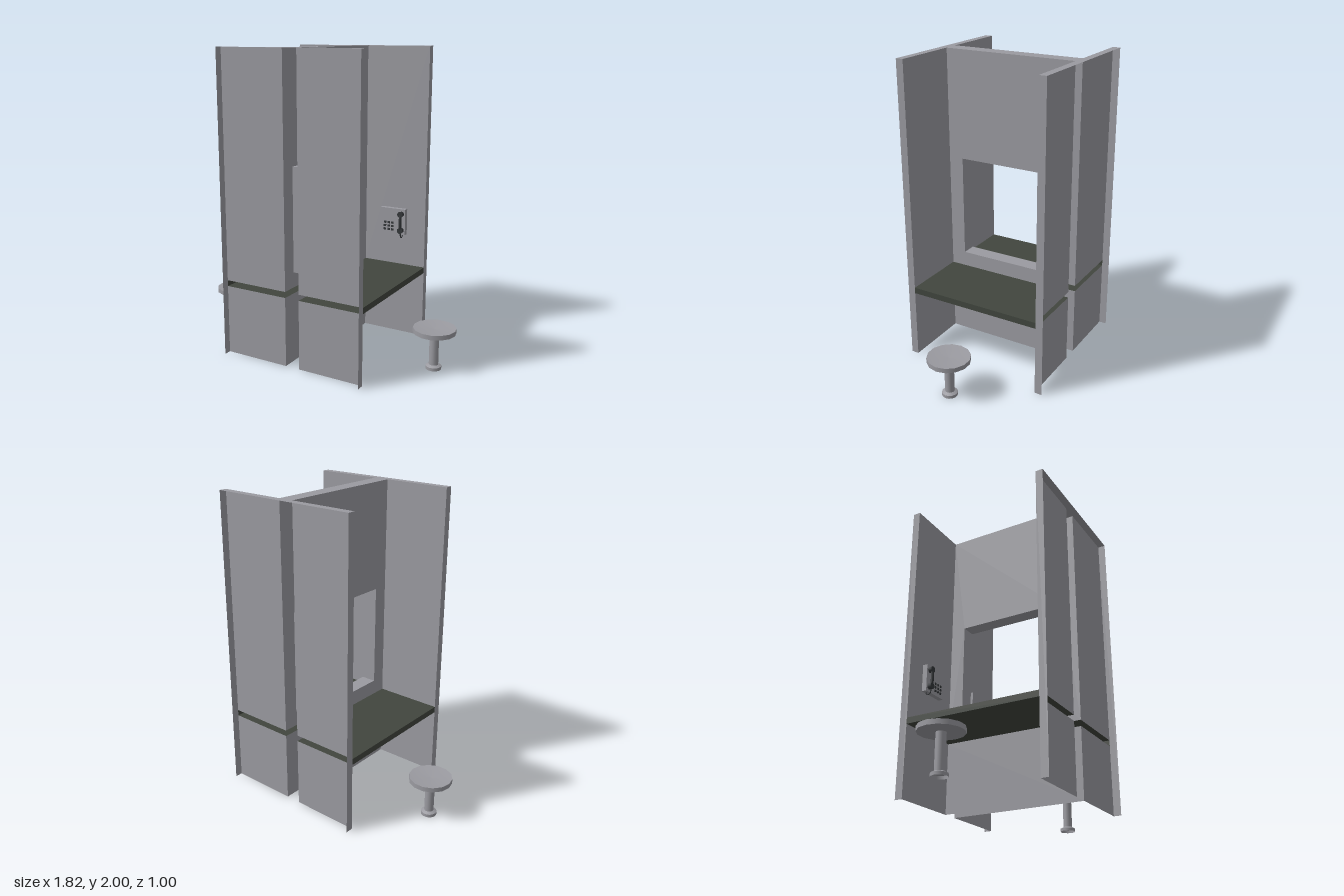
import * as THREE from 'three';

const wallGrey = new THREE.MeshStandardMaterial({ color: 0x9b9ba1, side: THREE.DoubleSide });
const shelfGreen = new THREE.MeshStandardMaterial({ color: 0x41463e, side: THREE.DoubleSide });
const handsetBlack = new THREE.MeshStandardMaterial({ color: 0x34373a });

function add(parent, name, geometry, material, x = 0, y = 0, z = 0) {
  const mesh = new THREE.Mesh(geometry, material);
  mesh.name = name;
  mesh.position.set(x, y, z);
  parent.add(mesh);
  return mesh;
}

// Thin sheets facing along x, y or z
const sheetX = (depth, height) => new THREE.PlaneGeometry(depth, height).rotateY(Math.PI / 2);
const sheetY = (width, depth) => new THREE.PlaneGeometry(width, depth).rotateX(-Math.PI / 2);
const sheetZ = (width, height) => new THREE.PlaneGeometry(width, height);

function rectangle(Type, x0, y0, x1, y1) {
  return new Type([[x0, y0], [x1, y0], [x1, y1], [x0, y1]].map(p => new THREE.Vector2(...p)));
}

const SHELF_LOW = 0.46, SHELF_HIGH = 0.5;
const bands = [[0, SHELF_LOW], [SHELF_HIGH, 2]];

function buildWalls() {
  const walls = new THREE.Group();
  walls.name = 'walls';
  for (const sx of [-1, 1]) {
    // Divider side with the window opening, parted where the shelf joins it
    const upper = rectangle(THREE.Shape, -0.45, SHELF_HIGH, 0.45, 2);
    upper.holes.push(rectangle(THREE.Path, -0.35, 0.6, 0.35, 1.28));
    add(walls, 'dividerUpper', new THREE.ShapeGeometry(upper).rotateY(Math.PI / 2), wallGrey, sx * 0.05);
    add(walls, 'dividerLower', sheetX(0.9, SHELF_LOW), wallGrey, sx * 0.05, SHELF_LOW / 2);

    // Front and back panels with their outer edges
    for (const sz of [-1, 1]) {
      for (const [low, high] of bands) {
        add(walls, 'endPanel', sheetZ(0.45, high - low), wallGrey, sx * 0.275, (low + high) / 2, sz * 0.45);
      }
      add(walls, 'panelEdge', sheetX(0.05, 2), wallGrey, sx * 0.5, 1, sz * 0.475);
    }
  }
  // Top caps
  for (const sz of [-1, 1]) add(walls, 'panelCap', sheetY(1, 0.05), wallGrey, 0, 2, sz * 0.475);
  add(walls, 'dividerCap', sheetY(0.1, 0.9), wallGrey, 0, 2, 0);

  // Window lining
  for (const s of [-1, 1]) {
    add(walls, 'windowJamb', sheetZ(0.1, 0.68), wallGrey, 0, 0.94, s * 0.35);
    add(walls, 'windowSill', sheetY(0.1, 0.7), wallGrey, 0, 0.94 + s * 0.34, 0);
  }
  return walls;
}

function buildShelf(side) {
  const shelf = new THREE.Group();
  shelf.name = 'shelf';
  for (const y of [SHELF_LOW, SHELF_HIGH]) {
    add(shelf, 'shelfSurface', sheetY(0.45, 0.9), shelfGreen, side * 0.275, y, 0);
  }
  add(shelf, 'shelfEdge', sheetX(0.9, 0.04), shelfGreen, side * 0.5, 0.48, 0);
  return shelf;
}

function buildStool(side) {
  const stool = new THREE.Group();
  stool.name = 'stool';
  stool.position.x = side * 0.775;
  const lathe = points => new THREE.LatheGeometry(points.map(p => new THREE.Vector2(...p)), 14, Math.PI / 2);
  // Foot flange and stem
  add(stool, 'stoolFoot', lathe([[0.05, 0], [0.05, 0.02]]), wallGrey);
  add(stool, 'stoolFootTop', lathe([[0.05, 0.02], [0.03, 0.03]]), wallGrey);
  add(stool, 'stoolStem', lathe([[0.03, 0.03], [0.03, 0.245]]), wallGrey);
  // Slightly dished seat
  add(stool, 'seatUnderside', lathe([[0, 0.245], [0.137, 0.245]]), wallGrey);
  add(stool, 'seatRim', lathe([[0.137, 0.245], [0.137, 0.275]]), wallGrey);
  add(stool, 'seatTop', lathe([[0.137, 0.275], [0.08, 0.269], [0, 0.266]]), wallGrey);
  return stool;
}

function buildPhone(side) {
  const phone = new THREE.Group();
  phone.name = 'wallPhone';
  add(phone, 'phoneBody', new THREE.BoxGeometry(0.185, 0.18, 0.033), wallGrey, side * 0.273, 0.81, -0.4335);

  // Keypad
  for (let row = 0; row < 3; row++) {
    for (let col = 0; col < 3; col++) {
      add(phone, 'key', new THREE.BoxGeometry(0.017, 0.014, 0.006), handsetBlack,
        side * (0.215 + col * 0.028), 0.75 + row * 0.024, -0.415);
    }
  }

  // Handset: grip, ear and mouth pieces
  const hx = side * 0.34;
  const grip = new THREE.CatmullRomCurve3([
    new THREE.Vector3(hx, 0.745, -0.4), new THREE.Vector3(hx, 0.775, -0.393),
    new THREE.Vector3(hx, 0.845, -0.393), new THREE.Vector3(hx, 0.875, -0.4)]);
  add(phone, 'handsetGrip', new THREE.TubeGeometry(grip, 10, 0.01, 8), handsetBlack);
  for (const y of [0.753, 0.867]) {
    const cup = new THREE.CylinderGeometry(0.021, 0.018, 0.028, 12).rotateX(Math.PI / 2);
    add(phone, 'handsetCup', cup, handsetBlack, hx, y, -0.401);
  }

  // Hanging cord
  const cord = new THREE.CatmullRomCurve3([
    new THREE.Vector3(hx, 0.74, -0.4), new THREE.Vector3(hx, 0.712, -0.402),
    new THREE.Vector3(hx, 0.7, -0.418), new THREE.Vector3(hx, 0.708, -0.432),
    new THREE.Vector3(hx, 0.722, -0.436)]);
  add(phone, 'cord', new THREE.TubeGeometry(cord, 16, 0.004, 6), handsetBlack);
  return phone;
}

export function createModel() {
  const model = new THREE.Group();
  model.name = 'doublePhoneBooth';
  model.add(buildWalls());
  for (const side of [-1, 1]) {
    model.add(buildShelf(side), buildStool(side), buildPhone(side));
  }
  return model;
}
